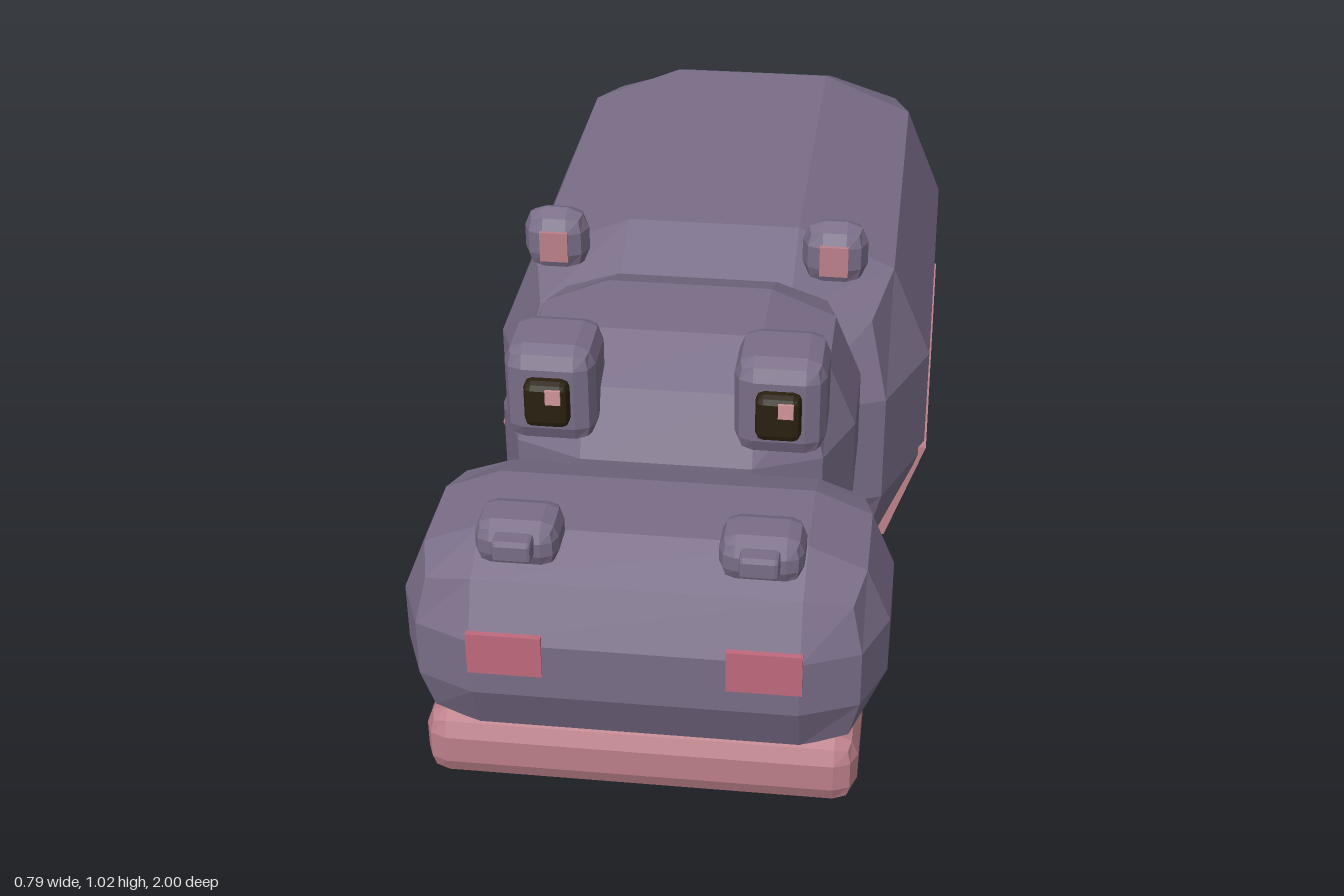
import * as THREE from 'three';
import { RoundedBoxGeometry } from 'three/addons/geometries/RoundedBoxGeometry.js';

function material(name, color) {
  const m = new THREE.MeshStandardMaterial({ color, flatShading: true });
  m.name = name;
  return m;
}

export function createModel() {
  const hide = material('greyPurpleHide', 0x7a6e88);
  const pink = material('dustyPink', 0xbc8089);
  const rose = material('rose', 0xc0697c);
  const dark = material('darkBrown', 0x2a2010);
  const glint = material('paleRose', 0xd0959b);

  const model = new THREE.Group();
  model.name = 'hippo';

  // Box with two-facet bevels; radius 0 gives a plain box
  function block(name, mat, size, pos, radius = 0, parent = model) {
    const geo = radius > 0
      ? new RoundedBoxGeometry(...size, 1, radius)
      : new THREE.BoxGeometry(...size);
    const mesh = new THREE.Mesh(geo, mat);
    mesh.name = name;
    mesh.position.set(...pos);
    parent.add(mesh);
    return mesh;
  }

  // Torso
  block('body', hide, [0.78, 0.68, 1.16], [0, 0.535, -0.34], 0.24);

  // Belly: cross-section following the lower bevels of the body
  const half = [[0.394, 0.45], [0.325, 0.252], [0.16, 0.182]];
  const outline = [...half, ...half.map(([x, y]) => [-x, y]).reverse()];
  const bellyShape = new THREE.Shape(outline.map(([x, y]) => new THREE.Vector2(x, y)));
  const belly = new THREE.Mesh(
    new THREE.ExtrudeGeometry(bellyShape, { depth: 0.727, bevelEnabled: false }), pink);
  belly.name = 'belly';
  belly.position.z = -0.703;
  model.add(belly);

  // Head, muzzle and lower jaw
  block('head', hide, [0.56, 0.424, 0.45], [0, 0.725, 0.42], 0.148);
  block('muzzle', hide, [0.71, 0.33, 0.38], [0, 0.655, 0.807], 0.12);
  block('lowerJaw', pink, [0.64, 0.112, 0.348], [0, 0.48, 0.803], 0.034);

  for (const side of [-1, 1]) {
    const label = side > 0 ? 'left' : 'right';

    // Eye sockets, eyes and glints (the glints sit toward +x on both eyes)
    const eye = new THREE.Group();
    eye.name = label + 'Eye';
    eye.position.set(side * 0.173, 0.905, 0.6);
    model.add(eye);
    block('eyeSocket', hide, [0.138, 0.16, 0.135], [0, 0, 0], 0.03, eye);
    block('eyeball', dark, [0.068, 0.077, 0.04], [0, 0, 0.069], 0.012, eye);
    block('eyeGlint', glint, [0.023, 0.024, 0.006], [0.012, 0.018, 0.089], 0, eye);

    // Ears
    block(label + 'Ear', hide, [0.106, 0.106, 0.07], [side * 0.228, 0.97, 0.262], 0.034);
    block(label + 'InnerEar', pink, [0.046, 0.052, 0.008], [side * 0.228, 0.968, 0.297]);

    // Nostril bumps on the muzzle and rose patches on its front
    block(label + 'NostrilBump', hide, [0.12, 0.07, 0.092], [side * 0.173, 0.829, 0.9], 0.024);
    block(label + 'Nostril', hide, [0.056, 0.034, 0.04], [side * 0.173, 0.837, 0.949], 0.006);
    block(label + 'MuzzlePatch', rose, [0.108, 0.068, 0.009], [side * 0.185, 0.682, 0.9955]);

    // Legs and feet
    for (const [end, z] of [['Front', -0.037], ['Rear', -0.657]]) {
      block(label + end + 'Leg', hide, [0.22, 0.26, 0.236], [side * 0.202, 0.165, z], 0.05);
      block(label + end + 'Foot', hide, [0.234, 0.074, 0.252], [side * 0.202, 0.037, z], 0.024);
    }
  }

  // Tail in two joints
  block('tailBase', hide, [0.055, 0.17, 0.045], [0, 0.597, -0.935], 0.016).rotation.x = 0.38;
  block('tailTip', hide, [0.076, 0.11, 0.05], [0, 0.51, -0.97], 0.02).rotation.x = 0.1;

  return model;
}
